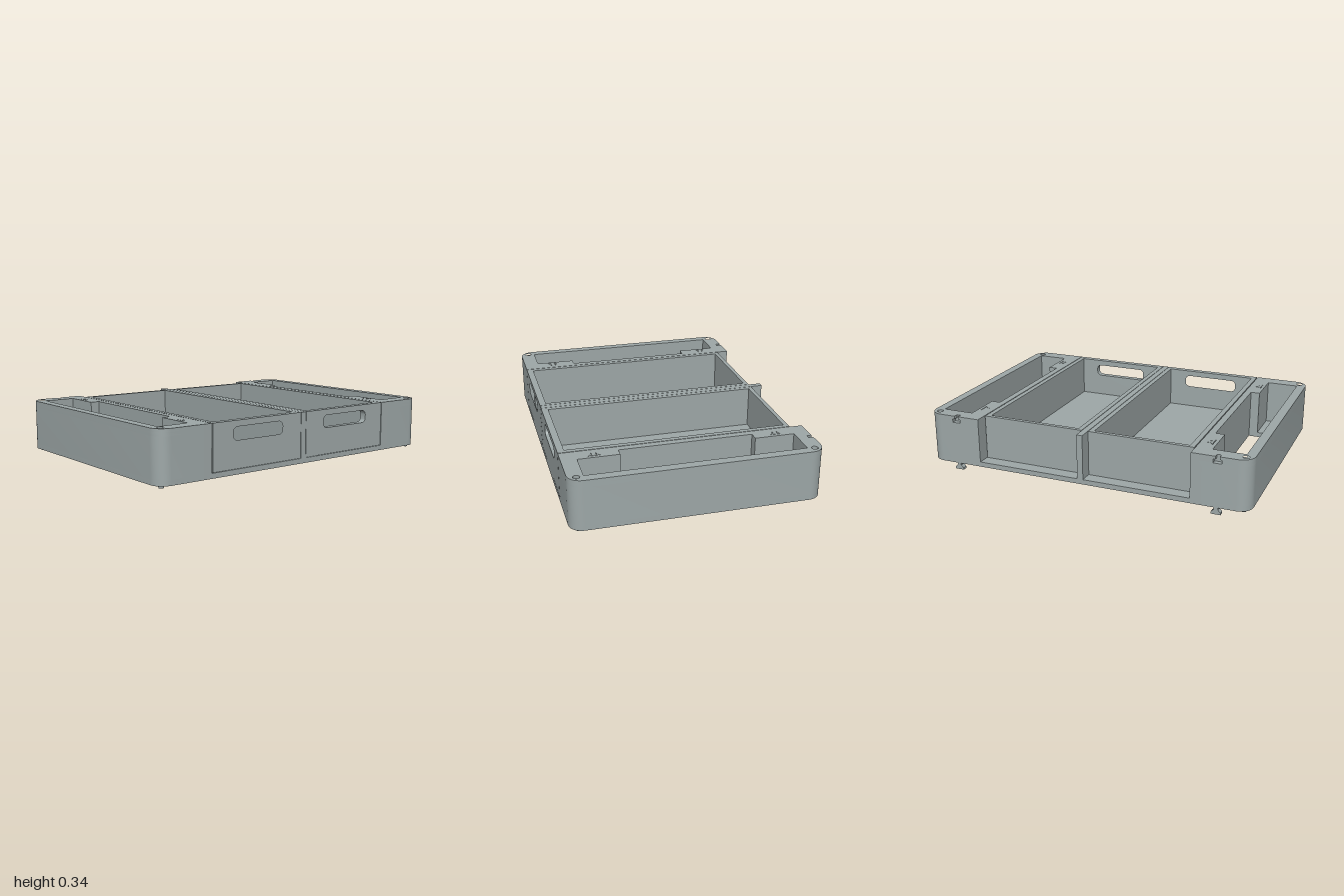
import * as THREE from 'three';
import { toCreasedNormals } from 'three/addons/utils/BufferGeometryUtils.js';

const BOTTOM = 0.04, BASE_TOP = 0.07, TOP = 0.34;

export function createModel() {
  const group = new THREE.Group();
  const grey = new THREE.MeshStandardMaterial({ color: 0x9ea8a8 });
  grey.name = 'warm grey plastic';

  function add(parent, name, geometry) {
    const mesh = new THREE.Mesh(geometry, grey);
    mesh.name = name;
    parent.add(mesh);
    return mesh;
  }

  function box(parent, name, x0, x1, y0, y1, z0, z1) {
    const g = new THREE.BoxGeometry(Math.abs(x1 - x0), y1 - y0, z1 - z0);
    return add(parent, name, g.translate((x0 + x1) / 2, (y0 + y1) / 2, (z0 + z1) / 2));
  }

  const toShape = (pts, s = 1) => new THREE.Shape(pts.map(([x, y]) => new THREE.Vector2(x * s, y)));
  const rect = (x0, x1, z0, z1) => [[x0, z0], [x1, z0], [x1, z1], [x0, z1]];
  const arc = (cx, cz, r, a0, a1, n) => Array.from({ length: n + 1 }, (_, i) => {
    const a = a0 + (a1 - a0) * i / n;
    return [cx + r * Math.cos(a), cz + r * Math.sin(a)];
  });

  // Extrudes a floor-plan outline (x, z) between two heights
  function plan(parent, name, y0, y1, outline, holes = [], s = 1) {
    const shape = toShape(outline, s);
    shape.holes = holes.map(h => toShape(h, s));
    const g = new THREE.ExtrudeGeometry(shape, { depth: y1 - y0, bevelEnabled: false });
    g.rotateX(Math.PI / 2).translate(0, y1, 0);
    return add(parent, name, toCreasedNormals(g, 0.6));
  }

  // Dovetail in the inner edge of a side tray, z increasing
  const dovetail = (z, gap = 0) => [
    [0.70, z - 0.016 + gap], [0.715, z - 0.016 + gap], [0.735 - gap, z - 0.036 + gap],
    [0.735 - gap, z + 0.036 - gap], [0.715, z + 0.016 - gap], [0.70, z + 0.016 - gap]];

  // Side tray outline: rounded outer corners, open toward the middle,
  // with an optional slot of the given half width in the back edge
  function trayOutline(inner, slot) {
    const r = 0.08;
    const back = slot ? [[0.81 - slot, -0.72], [0.81 - slot, -0.69], [0.81 + slot, -0.69], [0.81 + slot, -0.72]] : [];
    return [
      [0.70, -0.72], ...back,
      ...arc(1 - r, -0.72 + r, r, -Math.PI / 2, 0, 10),
      ...arc(1 - r, 0.72 - r, r, 0, Math.PI / 2, 10),
      [0.70, 0.72], ...dovetail(0.53).reverse(),
      ...inner, ...dovetail(-0.53).reverse()];
  }
  const windowEdge = [[0.70, 0.39], [0.94, 0.39], [0.94, -0.395], [0.70, -0.395]];
  const pocketEdge = [[0.70, 0.39], [0.755, 0.39], [0.755, 0.63], [0.945, 0.63],
    [0.945, -0.63], [0.755, -0.63], [0.755, -0.395], [0.70, -0.395]];
  const pegHoles = [-0.67, 0.67].map(z => arc(0.953, z, 0.019, 0, Math.PI * 2 * 19 / 20, 19));

  // Base frame with an opening below each drawer
  plan(group, 'baseFrame', BOTTOM, BASE_TOP, rect(-0.70, 0.70, -0.72, 0.72),
    [rect(0.025, 0.62, -0.63, 0.62), rect(-0.62, -0.025, -0.63, 0.62)]);
  box(group, 'centreDivider', -0.018, 0.018, BASE_TOP, TOP, -0.72, 0.72);

  for (const s of [1, -1]) {
    const side = s > 0 ? 'left' : 'right';

    // Side tray, built in layers for the floor, pocket, slot and peg holes
    const tray = new THREE.Group();
    tray.name = side + 'SideTray';
    group.add(tray);
    plan(tray, 'trayFloor', BOTTOM, BASE_TOP, trayOutline(windowEdge, 0), [], s);
    plan(tray, 'trayWalls', BASE_TOP, 0.30, trayOutline(pocketEdge, 0), [], s);
    plan(tray, 'trayUpperWalls', 0.30, 0.322, trayOutline(pocketEdge, 0.025), [], s);
    plan(tray, 'trayRim', 0.322, TOP, trayOutline(pocketEdge, 0.012), pegHoles, s);

    // Inner wall and its dovetail keys
    box(group, side + 'InnerWall', s * 0.66, s * 0.70, BASE_TOP, TOP, -0.72, 0.72);
    for (const z of [-0.53, 0.53]) {
      plan(group, side + 'DovetailKey', BOTTOM, TOP, dovetail(z, 0.004), [], s);
      // Round locating pegs underneath
      const peg = new THREE.CylinderGeometry(0.016, 0.014, 0.016, 20);
      add(group, side + 'LocatingPeg', peg.translate(s * 0.953, 0.032, Math.sign(z) * 0.67));
    }

    // Flared foot that fits the slot in the back edge
    const foot = toShape([[0.782, 0], [0.838, 0], [0.838, 0.012], [0.822, 0.028],
      [0.822, BOTTOM], [0.798, BOTTOM], [0.798, 0.028], [0.782, 0.012]], s);
    const footGeometry = new THREE.ExtrudeGeometry(foot, { depth: 0.03, bevelEnabled: false });
    add(group, side + 'BackFoot', footGeometry.translate(0, 0, -0.72));

    // Drawer: floor, U-shaped walls and a front with a grip slot
    const drawer = new THREE.Group();
    drawer.name = side + 'Drawer';
    group.add(drawer);
    box(drawer, 'drawerFloor', s * 0.021, s * 0.655, 0.072, 0.088, -0.645, 0.68);
    plan(drawer, 'drawerWalls', 0.088, TOP, [[0.021, 0.68], [0.021, -0.645], [0.655, -0.645],
      [0.655, 0.68], [0.625, 0.68], [0.625, -0.62], [0.05, -0.62], [0.05, 0.68]], [], s);
    const front = toShape(rect(0.021, 0.655, 0.072, TOP), s);
    const q = Math.PI / 2, r = 0.028;
    front.holes.push(toShape([
      ...arc(0.515 - r, 0.305 - r, r, 0, q, 6), ...arc(0.16 + r, 0.305 - r, r, q, 2 * q, 6),
      ...arc(0.16 + r, 0.23 + r, r, 2 * q, 3 * q, 6), ...arc(0.515 - r, 0.23 + r, r, 3 * q, 4 * q, 6)], s));
    const frontGeometry = new THREE.ExtrudeGeometry(front, { depth: 0.04, bevelEnabled: false });
    add(drawer, 'drawerFront', toCreasedNormals(frontGeometry.translate(0, 0, 0.68), 0.6));
  }
  return group;
}
